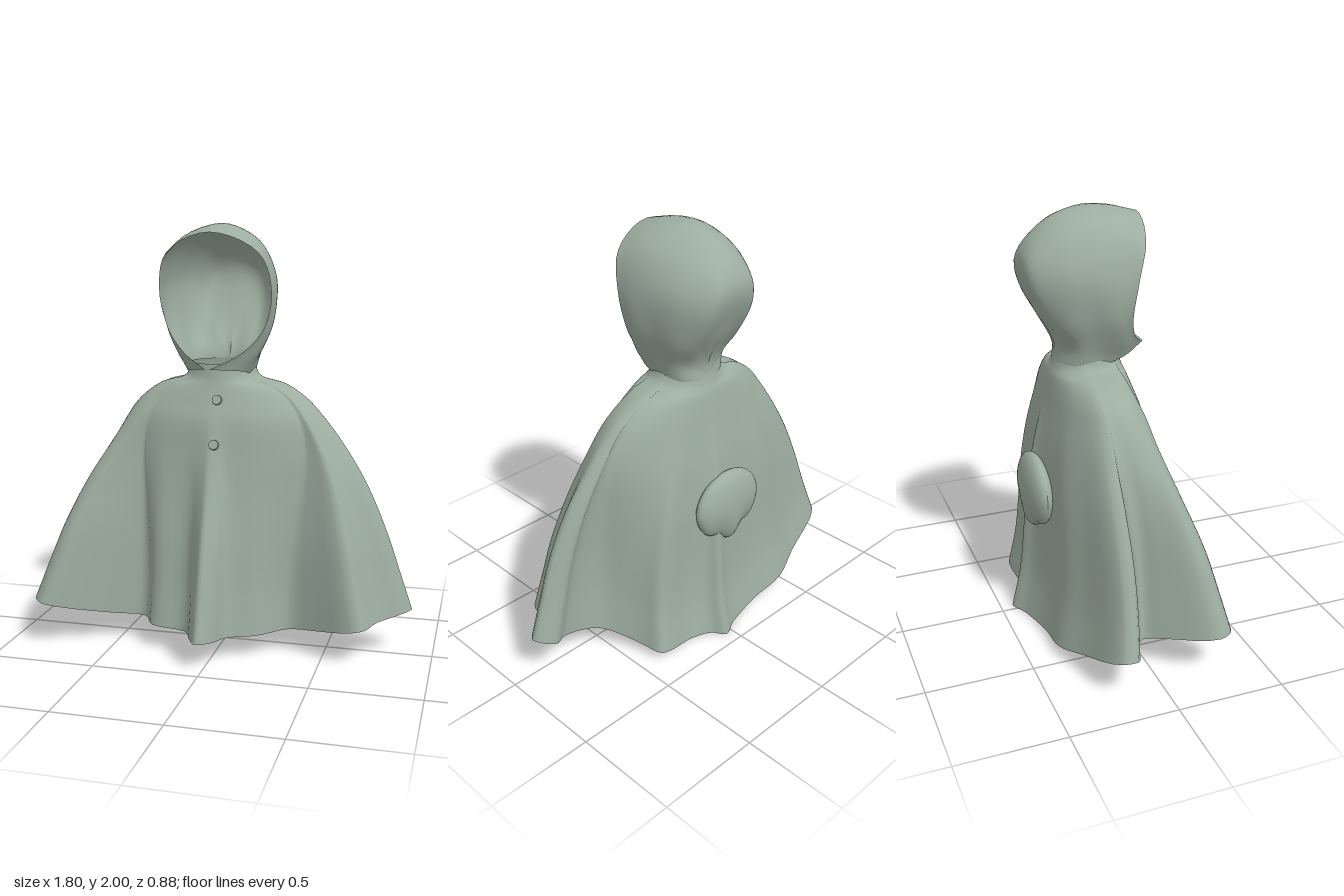
import * as THREE from 'three';

const cloth = new THREE.MeshStandardMaterial({ color: 0x9dada1, side: THREE.DoubleSide });
cloth.name = 'grey green cloth';

const V = (x, y, z) => new THREE.Vector3(x, y, z);

// Smooth surface through rows of points, optionally closed around the columns
function loft(rows, closed) {
  const n = rows[0].length, pos = [], idx = [];
  rows.forEach(r => r.forEach(p => pos.push(p.x, p.y, p.z)));
  for (let i = 0; i < rows.length - 1; i++) {
    for (let j = 0; j < (closed ? n : n - 1); j++) {
      const k = (j + 1) % n, a = i * n + j, b = a + n, c = i * n + k, d = c + n;
      idx.push(a, b, c, c, b, d);
    }
  }
  const g = new THREE.BufferGeometry();
  g.setAttribute('position', new THREE.Float32BufferAttribute(pos, 3));
  g.setIndex(idx);
  g.computeVertexNormals();
  return g;
}

// Resample rows of control points across the rows with splines
function refine(rows, count) {
  const cols = rows[0].map((_, j) => new THREE.CatmullRomCurve3(rows.map(r => r[j]), false, 'centripetal').getPoints(count));
  return cols[0].map((_, i) => cols.map(c => c[i]));
}

// Folded hem outline [x, z], from the front ridge round by +x and the back
const HEM = [
  [-0.03, 0.44], [0.03, 0.39], [0.08, 0.28], [0.2, 0.22], [0.33, 0.1], [0.46, 0.14],
  [0.64, 0.23], [0.7, 0.22], [0.75, 0.1], [0.9, -0.02], [0.82, -0.09], [0.73, -0.05],
  [0.55, -0.07], [0.47, -0.17], [0.43, -0.26], [0.4, -0.35], [0.34, -0.36], [0.2, -0.35],
  [0.09, -0.38], [0.04, -0.44], [-0.05, -0.4], [-0.25, -0.36], [-0.45, -0.36], [-0.62, -0.3],
  [-0.88, -0.22], [-0.9, -0.15], [-0.76, -0.1], [-0.66, -0.03], [-0.73, 0.06], [-0.88, 0.25],
  [-0.82, 0.33], [-0.72, 0.29], [-0.5, 0.15], [-0.38, 0.1], [-0.3, 0.22], [-0.14, 0.24], [-0.08, 0.36],
];

// Cape rings: height, half width, front z, back z, strength of the folds
const RINGS = [
  [1.36, 0.15, 0.075, -0.215, 0], [1.29, 0.18, 0.085, -0.23, 0], [1.25, 0.3, 0.095, -0.245, 0],
  [1.18, 0.4, 0.12, -0.26, 0.04], [1.1, 0.47, 0.15, -0.275, 0.1], [0.95, 0.57, 0.185, -0.31, 0.32],
  [0.75, 0.675, 0.245, -0.345, 0.62], [0.5, 0.77, 0.33, -0.365, 0.85], [0.3, 0.83, 0.38, -0.385, 0.95],
  [0.1, 0.89, 0.43, -0.43, 1],
];

function capeGeometry() {
  const hem = new THREE.CatmullRomCurve3(HEM.map(([x, z]) => V(x, 0, z)), true, 'centripetal').getPoints(148);
  hem.pop();
  let last = -0.1;
  const angles = hem.map((p, i) => {
    let a = Math.atan2(p.x / 0.89, p.z / 0.43);
    if (i > 4 && a < 0) a += Math.PI * 2;
    last = Math.max(last + 0.004, a);
    return last;
  });
  const rows = RINGS.map(([y, w, zf, zb, fold]) => {
    const t = (1.36 - y) / 1.26;
    return hem.map((p, i) => {
      const a = angles[i], side = (p.x / 0.89) ** 2;
      const front = THREE.MathUtils.smoothstep(p.z, -0.35, 0.15);
      const hemY = THREE.MathUtils.lerp(0.005 + 0.21 * side, 0.1 + 0.12 * side, front) + 0.1 * Math.max(0, p.z - 0.15);
      const ex = w * Math.sin(a) - 0.03 * (1 - t);
      const ez = (zf + zb) / 2 + (zf - zb) / 2 * Math.cos(a);
      const hx = p.x / 0.89 * w, hz = p.z / 0.43 * (p.z > 0 ? zf : -zb);
      return V(THREE.MathUtils.lerp(ex, hx, fold), 1.36 - (1.36 - hemY) * t, THREE.MathUtils.lerp(ez, hz, fold));
    });
  });
  return loft(refine(rows, 45), true);
}

// Hood arches from the face opening to the nape: half arches [x, y, z], base to crown
const ARCHES = [
  [[0.01, 1.35, 0.21], [0.14, 1.42, 0.12], [0.23, 1.53, 0.07], [0.265, 1.7, 0.08], [0.215, 1.87, 0.13], [0, 1.96, 0.17]],
  [[0.13, 1.33, 0.07], [0.2, 1.42, 0.03], [0.257, 1.55, 0], [0.265, 1.74, 0], [0.19, 1.92, 0.02], [0, 1.995, 0.03]],
  [[0.15, 1.31, -0.03], [0.185, 1.41, -0.08], [0.235, 1.56, -0.11], [0.25, 1.75, -0.12], [0.17, 1.92, -0.11], [0, 2, -0.1]],
  [[0.15, 1.31, -0.12], [0.165, 1.4, -0.15], [0.2, 1.53, -0.21], [0.21, 1.74, -0.25], [0.13, 1.88, -0.26], [0, 1.94, -0.26]],
  [[0.12, 1.31, -0.18], [0.13, 1.39, -0.185], [0.14, 1.5, -0.26], [0.14, 1.66, -0.34], [0.1, 1.76, -0.37], [0, 1.79, -0.375]],
  [[0.06, 1.31, -0.215], [0.065, 1.37, -0.21], [0.07, 1.44, -0.235], [0.06, 1.51, -0.28], [0.04, 1.55, -0.305], [0, 1.57, -0.315]],
  [[0, 1.3, -0.225], [0, 1.33, -0.222], [0, 1.36, -0.22], [0, 1.39, -0.222], [0, 1.41, -0.227], [0, 1.42, -0.23]],
];

function hoodGeometry() {
  const rows = ARCHES.map(half => {
    const left = half.map(([x, y, z]) => V(x - 0.03, y, z));
    const right = half.slice(0, -1).reverse().map(([x, y, z]) => V(-x - 0.03, y, z));
    return new THREE.CatmullRomCurve3([...left, ...right], false, 'centripetal').getPoints(50);
  });
  return loft(refine(rows, 36), false);
}

// Puffed flap on the back, rumpled towards its lower edge
function flapGeometry() {
  const g = new THREE.SphereGeometry(1, 32, 20);
  const p = g.attributes.position;
  for (let i = 0; i < p.count; i++) {
    const x = p.getX(i), y = p.getY(i), z = p.getZ(i);
    const low = Math.max(0, -y);
    p.setXYZ(i, x * (0.2 - 0.03 * low), y * 0.175 - 0.015 * low * Math.cos(x * 7), z * 0.065 * (1 + 0.2 * low * Math.cos(x * 7)));
  }
  g.computeVertexNormals();
  return g;
}

export function createModel() {
  const model = new THREE.Group();
  model.name = 'hoodedCape';
  const add = (name, geometry) => {
    const mesh = new THREE.Mesh(geometry, cloth);
    mesh.name = name;
    model.add(mesh);
    return mesh;
  };

  add('cape', capeGeometry());
  add('hood', hoodGeometry());
  add('backFlap', flapGeometry()).position.set(-0.05, 0.68, -0.335);

  // Two buttons down the chest
  for (const [y, z] of [[1.2, 0.117], [1.0, 0.179]]) {
    const button = add('button', new THREE.CylinderGeometry(0.022, 0.024, 0.014, 20));
    button.position.set(-0.01, y, z);
    button.rotation.x = 1.26;
  }
  return model;
}
